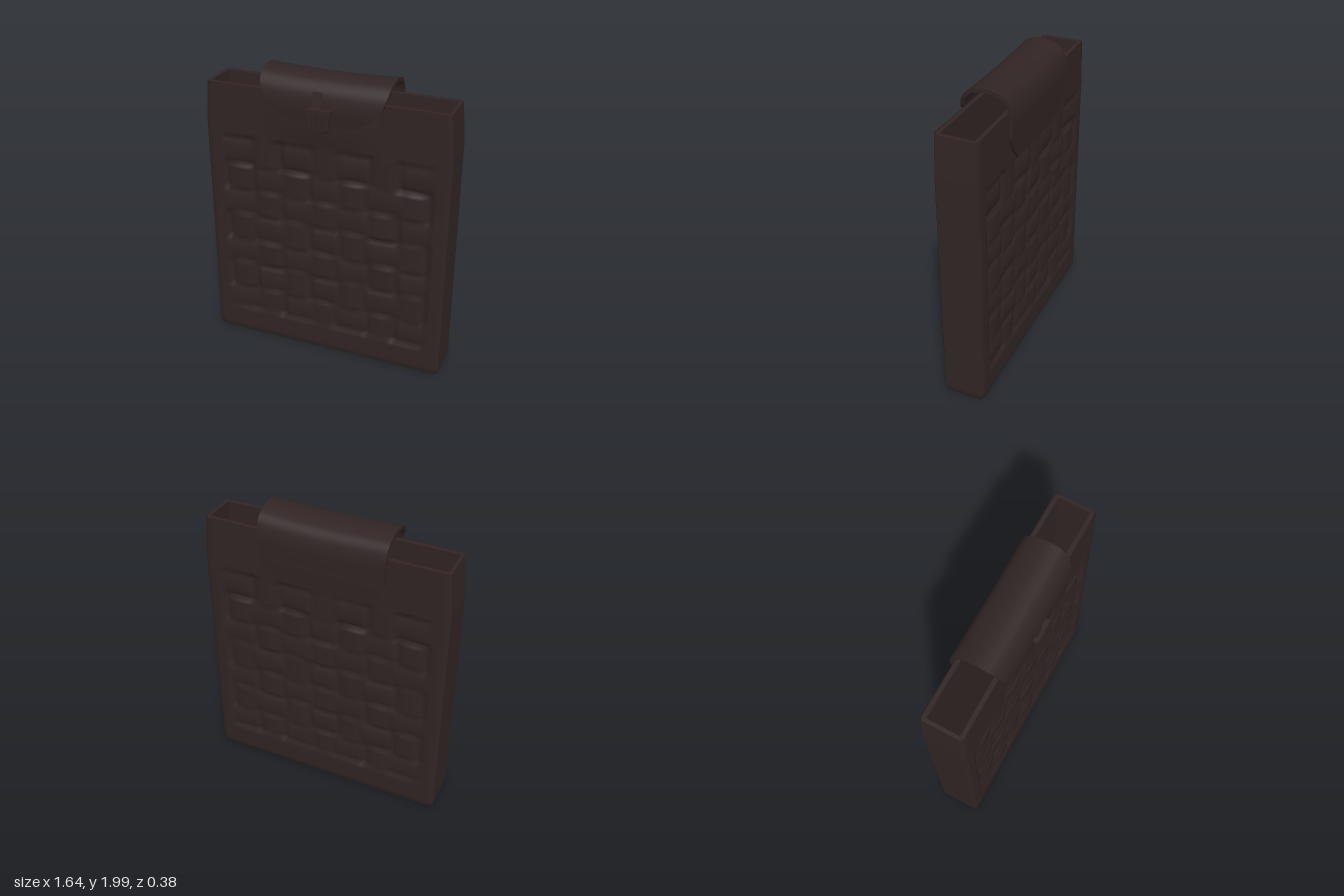
import * as THREE from 'three';

const leather = new THREE.MeshStandardMaterial({ color: 0x302424, side: THREE.DoubleSide });
leather.name = 'dark brown leather';

const CZ = -0.025, HALF_Z = 0.14, HALF_X = 0.82, TOP = 1.87;

function add(group, name, geometry, x = 0, y = 0, z = 0) {
  const mesh = new THREE.Mesh(geometry, leather);
  mesh.name = name;
  mesh.position.set(x, y, z);
  group.add(mesh);
  return mesh;
}

// Repeatable pseudo-random value for a woven cell
function cellNoise(i, j, side) {
  const s = Math.sin(i * 12.99 + j * 78.23 + side * 37.7) * 43758.55;
  return s - Math.floor(s);
}

// Box without its top face
function openBox(w, h, d, sx, sy, sz) {
  const g = new THREE.BoxGeometry(w, h, d, sx, sy, sz);
  const old = Array.from(g.index.array);
  const kept = [];
  g.groups.forEach((f, i) => {
    if (i !== 2) for (let k = f.start; k < f.start + f.count; k++) kept.push(old[k]);
  });
  g.setIndex(kept);
  g.clearGroups();
  return g;
}

// Apply a rule to every vertex
function reshape(g, rule) {
  const p = g.attributes.position;
  const v = new THREE.Vector3();
  for (let i = 0; i < p.count; i++) {
    v.fromBufferAttribute(p, i);
    rule(v);
    p.setXYZ(i, v.x, v.y, v.z);
  }
  g.computeVertexNormals();
  return g;
}

// How far the woven strips sink below the surrounding border
function weaveDepth(x, y, side) {
  const a = (x + 0.7) / 0.2, b = (y - 0.19) / 0.19;
  if (a <= 0 || a >= 7 || b <= 0 || b >= 7) return 0;
  const i = Math.floor(a), j = Math.floor(b), u = a - i, v = b - j;
  const r = cellNoise(i, j, side);
  const t = (i + j) % 2 ? u : v;
  const bulge = Math.sqrt(Math.max(0, Math.sin(Math.PI * t)));
  const tilt = (u - 0.5) * (r - 0.3) + (0.5 - v) * (0.8 - r) * 0.6;
  return THREE.MathUtils.clamp(0.026 - 0.022 * bulge + 0.02 * tilt, 0.001, 0.031);
}

function outerShell() {
  const g = openBox(HALF_X * 2, TOP - 0.01, HALF_Z * 2, 82, 93, 6);
  g.translate(0, (TOP + 0.01) / 2, 0);
  return reshape(g, (v) => {
    const { x, y } = v;
    const edgeX = HALF_X - Math.abs(x), edgeZ = HALF_Z - Math.abs(v.z);
    const side = Math.sign(v.z);
    if (edgeZ < 0.001) {
      // quilted centre, rounded borders and slightly pinched middle
      let inset = weaveDepth(x, y, side > 0 ? 1 : 2);
      if (edgeX < 0.03) inset += 0.016 * (1 - edgeX / 0.03) ** 2;
      if (y < 0.04) inset += 0.014 * (1 - y / 0.04);
      inset += 0.008 * Math.cos(x * 1.9) * (y > 1.52 ? 1 : 0.3);
      // fuller leather beneath the flap
      if (Math.abs(x) < 0.4 && y > 1.52)
        inset -= 0.024 * Math.sin(Math.PI * (y - 1.52) / 0.35) * Math.cos(x * Math.PI / 0.8);
      v.z -= side * inset;
    }
    // side walls draw in toward the mouth and the base
    let taper = 0;
    if (y > 1.6) taper = 0.022 * (y - 1.6) / 0.27;
    if (y < 0.04) taper = 0.018 * (1 - y / 0.04);
    v.x *= 1 - taper / HALF_X;
    v.z += CZ;
  });
}

// Rim around the mouth
function rim() {
  const s = new THREE.Shape();
  const X = 0.798, Z = 0.132;
  s.moveTo(-X, -Z + 0.012).lineTo(-X + 0.02, -Z).lineTo(X - 0.02, -Z).lineTo(X, -Z + 0.012);
  s.lineTo(X, Z - 0.012).lineTo(X - 0.02, Z).lineTo(-X + 0.02, Z).lineTo(-X, Z - 0.012);
  s.closePath();
  const hole = new THREE.Path();
  hole.moveTo(-0.775, -0.105).lineTo(-0.775, 0.105).lineTo(0.775, 0.105).lineTo(0.775, -0.105);
  hole.closePath();
  s.holes.push(hole);
  const g = new THREE.ExtrudeGeometry(s, { depth: 0.012, bevelEnabled: false });
  return g.rotateX(-Math.PI / 2);
}

// Closing flap: a strap of varying width bent over the mouth from back to front
function flap() {
  const path = new THREE.CatmullRomCurve3([
    [1.54, -0.163], [1.7, -0.175], [1.86, -0.177], [1.94, -0.145], [1.977, -0.07],
    [1.984, 0], [1.965, 0.07], [1.91, 0.122], [1.82, 0.143], [1.695, 0.135],
  ].map(([y, z]) => new THREE.Vector3(0, y, z)));
  const widths = [[0, 0.3], [0.08, 0.37], [0.17, 0.41], [0.38, 0.42], [0.65, 0.425],
    [0.75, 0.415], [0.84, 0.39], [0.93, 0.31], [0.98, 0.24], [1, 0.2]];
  const widthAt = (t) => {
    let k = 1;
    while (k < widths.length - 1 && widths[k][0] < t) k++;
    const [t0, w0] = widths[k - 1], [t1, w1] = widths[k];
    return THREE.MathUtils.lerp(w0, w1, (t - t0) / (t1 - t0));
  };
  const g = new THREE.BoxGeometry(2, 1, 0.024, 12, 60, 1);
  return reshape(g, (v) => {
    const t = THREE.MathUtils.clamp(v.y + 0.5, 0, 1);
    const p = path.getPointAt(t), d = path.getTangentAt(t);
    const sag = 0.014 * (1 - v.x * v.x) * Math.sin(Math.PI * t) ** 2;
    v.set(v.x * widthAt(t), p.y + d.z * v.z - sag + 0.006, p.z - d.y * v.z);
  });
}

function buckle() {
  const b = new THREE.Group();
  b.name = 'buckle';
  // tapered clasp body
  const s = new THREE.Shape();
  s.moveTo(-0.066, 0.13).lineTo(0.066, 0.13).lineTo(0.058, 0.02).lineTo(0.035, 0);
  s.lineTo(-0.035, 0).lineTo(-0.058, 0.02).closePath();
  const body = new THREE.ExtrudeGeometry(s, {
    depth: 0.015, bevelThickness: 0.005, bevelSize: 0.004, bevelSegments: 1,
  });
  add(b, 'claspBody', body, -0.005, 1.665, 0.15).rotation.x = 0.06;
  // crossbar, side posts and strap tongue
  add(b, 'claspBar', new THREE.BoxGeometry(0.16, 0.032, 0.032), -0.005, 1.795, 0.171);
  for (const x of [-0.06, 0.05])
    add(b, 'claspPost', new THREE.BoxGeometry(0.02, 0.09, 0.022), x, 1.75, 0.176);
  add(b, 'claspPin', new THREE.CylinderGeometry(0.014, 0.014, 0.1, 8), -0.005, 1.74, 0.177);
  add(b, 'tongue', new THREE.BoxGeometry(0.06, 0.11, 0.02), -0.025, 1.855, 0.148).rotation.x = -0.22;
  return b;
}

export function createModel() {
  const model = new THREE.Group();
  model.name = 'wovenBag';
  add(model, 'bodyShell', outerShell());
  add(model, 'rim', rim(), 0, TOP - 0.012, CZ);
  add(model, 'lining', openBox(1.55, 1.81, 0.21, 1, 1, 1), 0, 0.955, CZ);
  add(model, 'flap', flap());
  model.add(buckle());
  return model;
}
